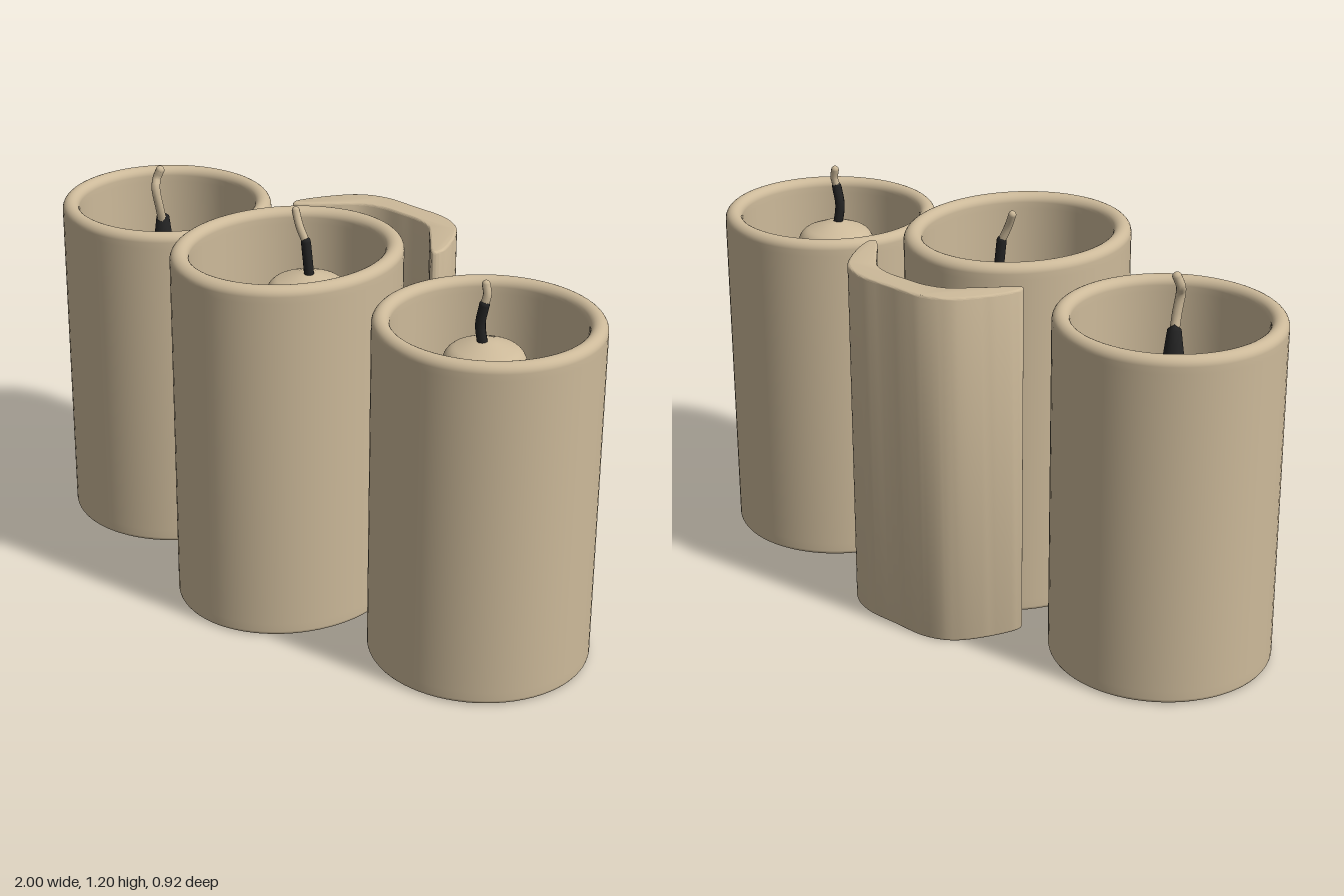
import * as THREE from 'three';
import { toCreasedNormals } from 'three/addons/utils/BufferGeometryUtils.js';

const wax = new THREE.MeshStandardMaterial({ color: 0xcdba9a });
wax.name = 'wax';
const char = new THREE.MeshStandardMaterial({ color: 0x232323 });
char.name = 'charred wick';

function addMesh(parent, name, geometry, material, x = 0, y = 0, z = 0) {
  const mesh = new THREE.Mesh(geometry, material);
  mesh.name = name;
  mesh.position.set(x, y, z);
  parent.add(mesh);
  return mesh;
}

// Append a circular arc to a lathe profile
function arc(points, cx, cy, r, from, to, steps) {
  for (let i = 0; i <= steps; i++) {
    const a = from + ((to - from) * i) / steps;
    points.push(new THREE.Vector2(cx + r * Math.cos(a), cy + r * Math.sin(a)));
  }
}

// Hollow candle shell: flat base, straight wall, rounded rim, sunken floor
function shellGeometry(rx, rz, height, floor) {
  const wall = 0.052, lip = wall / 2, inner = rx - wall;
  const p = [new THREE.Vector2(0, 0), new THREE.Vector2(rx - 0.02, 0)];
  arc(p, rx - 0.014, 0.014, 0.014, -Math.PI / 2, 0, 4);
  p.push(new THREE.Vector2(rx, 0.04), new THREE.Vector2(rx, height - lip - 0.02));
  arc(p, rx - lip, height - lip, lip, 0, Math.PI, 12);
  p.push(new THREE.Vector2(inner, height - lip - 0.02));
  p.push(new THREE.Vector2(inner, floor + 0.02));
  arc(p, inner - 0.01, floor + 0.01, 0.01, 0, -Math.PI / 2, 3);
  p.push(new THREE.Vector2(inner - 0.02, floor), new THREE.Vector2(0, floor));
  return new THREE.LatheGeometry(p, 72).scale(1, 1, rz / rx);
}

// Round-shouldered mound of wax around the wick
function moundGeometry(r, floor, top) {
  const p = [new THREE.Vector2(r, floor), new THREE.Vector2(r, top - 0.085)];
  arc(p, r - 0.05, top - 0.07, 0.05, 0, Math.PI * 0.4, 7);
  p.push(new THREE.Vector2(0.035, top - 0.003), new THREE.Vector2(0, top));
  return new THREE.LatheGeometry(p, 40);
}

// Bent wick piece with a rounded tip
function addWick(parent, name, coords, r, material) {
  const points = coords.map((c) => new THREE.Vector3(...c));
  const curve = new THREE.CatmullRomCurve3(points);
  addMesh(parent, name, new THREE.TubeGeometry(curve, 16, r, 10), material);
  const e = points[points.length - 1];
  addMesh(parent, name + 'Tip', new THREE.SphereGeometry(r, 10, 8), material, e.x, e.y, e.z);
}

// Curved slab standing behind the middle candle
function crescentGeometry(height) {
  const half = [[0.12, 0.457], [0.2, 0.42], [0.265, 0.33], [0.302, 0.232], [0.29, 0.214],
    [0.27, 0.227], [0.19, 0.31], [0.135, 0.362], [0.07, 0.384]];
  const right = half.map(([x, y]) => new THREE.Vector2(x, y));
  const left = half.map(([x, y]) => new THREE.Vector2(-x, y)).reverse();
  const loop = [new THREE.Vector2(0, 0.46), ...right, new THREE.Vector2(0, 0.386), ...left];
  const outline = new THREE.CatmullRomCurve3(
    loop.map((v) => new THREE.Vector3(v.x, v.y, 0)), true, 'centripetal');
  const shape = new THREE.Shape(
    outline.getPoints(100).slice(0, -1).map((v) => new THREE.Vector2(v.x, v.y)));
  const bevel = 0.007;
  const geometry = new THREE.ExtrudeGeometry(shape, {
    depth: height - 2 * bevel, bevelEnabled: true, bevelThickness: bevel,
    bevelSize: bevel, bevelOffset: -bevel, bevelSegments: 3,
  });
  geometry.translate(0, 0, bevel).rotateX(-Math.PI / 2);
  return toCreasedNormals(geometry, 0.7);
}

export function createModel() {
  const model = new THREE.Group();
  model.name = 'candles';
  const floor = 0.68;

  // Left candle with a charred cone at the wick foot
  const left = new THREE.Group();
  left.name = 'leftCandle';
  addMesh(left, 'leftShell', shellGeometry(0.33, 0.327, 1.057, floor), wax, -0.67, 0, -0.03);
  const cone = [[0.085, floor], [0.08, 0.76], [0.055, 0.85], [0.03, 0.92], [0.02, 1.0], [0, 1.015]];
  addMesh(left, 'charredCone',
    new THREE.LatheGeometry(cone.map(([x, y]) => new THREE.Vector2(x, y)), 28), char, -0.67, 0, -0.01);
  addWick(left, 'leftWick',
    [[-0.668, 0.97, -0.01], [-0.662, 1.04, 0.01], [-0.667, 1.1, 0.018], [-0.676, 1.13, 0.004], [-0.668, 1.155, -0.003]],
    0.014, wax);

  // Middle candle, larger and oval
  const middle = new THREE.Group();
  middle.name = 'middleCandle';
  addMesh(middle, 'middleShell', shellGeometry(0.322, 0.36, 1.12, floor), wax, 0, 0, 0.095);
  addMesh(middle, 'middleMound', moundGeometry(0.125, floor, 1.0), wax, -0.013, 0, 0);
  addWick(middle, 'middleCharredWick',
    [[-0.005, 0.98, 0], [-0.008, 1.04, 0.004], [-0.012, 1.1, 0.008]], 0.015, char);
  addWick(middle, 'middleWick',
    [[-0.012, 1.1, 0.008], [-0.032, 1.145, 0.014], [-0.052, 1.188, 0.01]], 0.012, wax);

  // Right candle
  const right = new THREE.Group();
  right.name = 'rightCandle';
  addMesh(right, 'rightShell', shellGeometry(0.33, 0.327, 1.057, floor), wax, 0.67, 0, -0.03);
  addMesh(right, 'rightMound', moundGeometry(0.119, floor, 1.0), wax, 0.682, 0, 0);
  addWick(right, 'rightCharredWick',
    [[0.682, 0.98, 0.008], [0.675, 1.05, 0.015], [0.686, 1.11, 0.014]], 0.015, char);
  addWick(right, 'rightWick',
    [[0.686, 1.11, 0.014], [0.69, 1.14, 0.008], [0.683, 1.168, 0.006]], 0.012, wax);

  model.add(left, middle, right);
  addMesh(model, 'crescentSlab', crescentGeometry(1.09), wax);
  return model;
}
